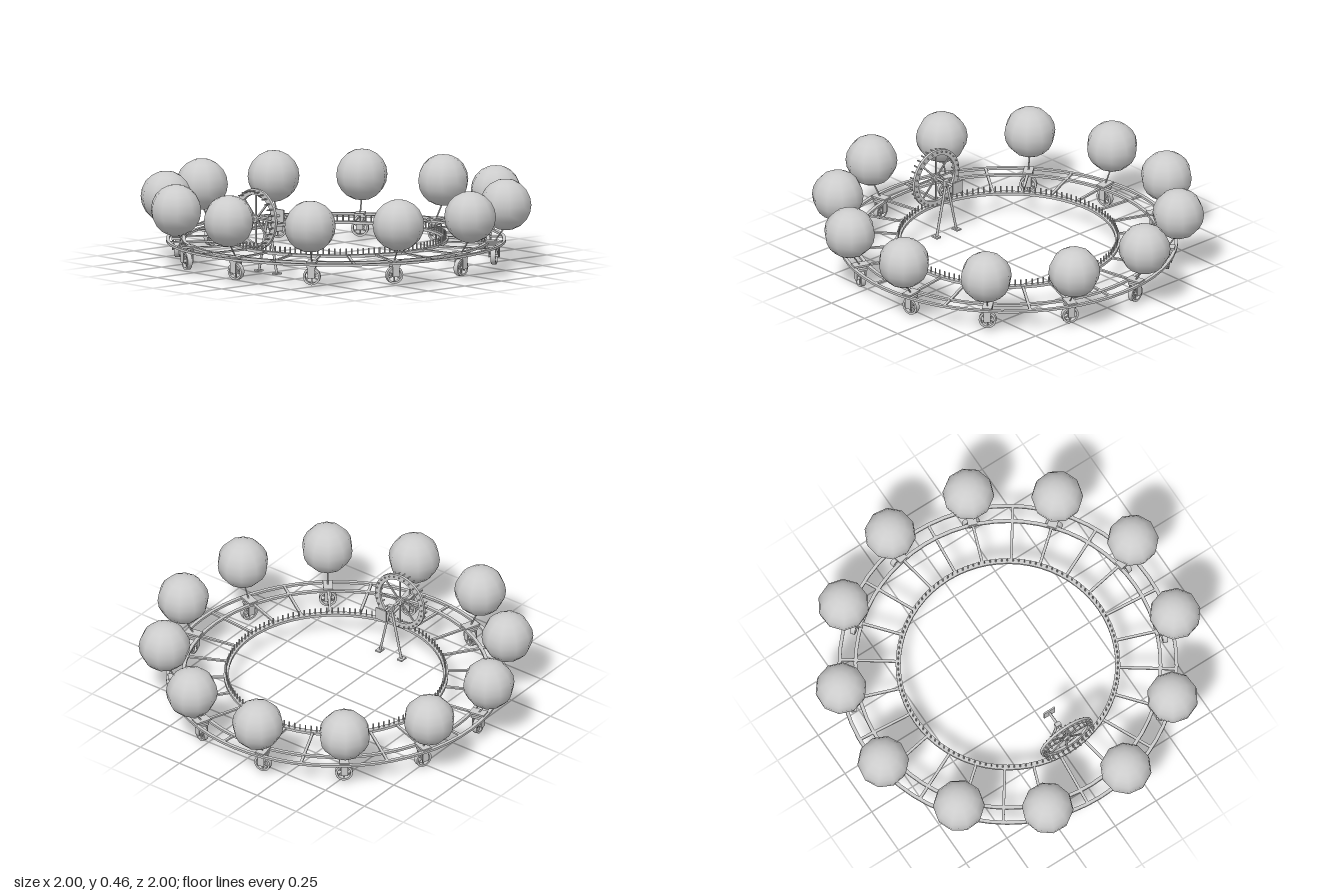
import * as THREE from 'three';
import { toCreasedNormals } from 'three/addons/utils/BufferGeometryUtils.js';

const metal = new THREE.MeshStandardMaterial({ color: 0xcccccc });
metal.name = 'light grey';

function add(parent, geometry, name, x = 0, y = 0, z = 0) {
  const mesh = new THREE.Mesh(geometry, metal);
  mesh.name = name;
  mesh.position.set(x, y, z);
  parent.add(mesh);
  return mesh;
}

const box = (w, h, d) => new THREE.BoxGeometry(w, h, d);

// Round bar between two points
function rod(parent, a, b, r, name) {
  const from = new THREE.Vector3(...a), to = new THREE.Vector3(...b);
  const mesh = add(parent, new THREE.CylinderGeometry(r, r, from.distanceTo(to), 6), name);
  mesh.position.copy(from).lerp(to, 0.5);
  mesh.quaternion.setFromUnitVectors(new THREE.Vector3(0, 1, 0), to.sub(from).normalize());
  return mesh;
}

// Flat hoop with a rectangular section, lying around the y axis
function hoop(inner, outer, height, segments) {
  const h = height / 2;
  const profile = [[inner, -h], [outer, -h], [outer, h], [inner, h], [inner, -h]]
    .map(([x, y]) => new THREE.Vector2(x, y));
  return toCreasedNormals(new THREE.LatheGeometry(profile, segments), 0.6);
}

// Caster with its fork, bracket and ball, built along +x from the ring centre
function floatUnit() {
  const unit = new THREE.Group();
  unit.name = 'ballAndCaster';
  const r = 0.82, wheelY = 0.06;

  add(unit, new THREE.SphereGeometry(0.133, 10, 10), 'ball', 0.88, 0.327, 0);
  rod(unit, [r, 0.13, 0], [0.875, 0.21, 0], 0.004, 'ballStem');
  add(unit, box(0.085, 0.01, 0.05), 'bracket', r, 0.134, 0);
  add(unit, box(0.06, 0.012, 0.045), 'forkTop', r, 0.112, 0);
  for (const s of [-1, 1]) {
    add(unit, box(0.005, 0.065, 0.036), 'forkPlate', r + s * 0.025, 0.085, 0);
  }

  // Wheel turns about the radial axis
  const wheel = new THREE.Group();
  wheel.name = 'casterWheel';
  wheel.position.set(r, wheelY, 0);
  wheel.rotation.z = Math.PI / 2;
  add(wheel, hoop(0.034, 0.045, 0.025, 20), 'tyre');
  add(wheel, new THREE.CylinderGeometry(0.008, 0.008, 0.055, 8), 'axle');
  for (let i = 0; i < 3; i++) {
    add(wheel, box(0.07, 0.008, 0.006), 'wheelSpoke').rotation.y = i * Math.PI / 3;
  }
  unit.add(wheel);
  return unit;
}

// Upright lantern wheel with its axle, crank plate and A-frame stand
function driveWheel() {
  const drive = new THREE.Group();
  drive.name = 'driveWheel';
  const y = 0.288, standX = -0.465;

  const wheel = new THREE.Group();
  wheel.name = 'lanternWheel';
  wheel.position.set(-0.545, y, 0);
  wheel.rotation.z = Math.PI / 2;
  add(wheel, hoop(0.126, 0.157, 0.014, 40), 'rim');
  for (let i = 0; i < 28; i++) {
    const a = i / 28 * Math.PI * 2;
    add(wheel, new THREE.CylinderGeometry(0.004, 0.004, 0.055, 6), 'wheelPin',
      Math.cos(a) * 0.145, 0.013, Math.sin(a) * 0.145);
  }
  for (let i = 0; i < 4; i++) {
    add(wheel, box(0.26, 0.006, 0.009), 'rimSpoke').rotation.y = i * Math.PI / 4;
  }
  add(wheel, new THREE.CylinderGeometry(0.02, 0.02, 0.025, 12), 'hub');
  drive.add(wheel);

  rod(drive, [-0.56, y, 0], [-0.385, y, 0], 0.007, 'axle');
  add(drive, box(0.008, 0.066, 0.066), 'crankPlate', -0.385, y, 0);
  add(drive, box(0.022, 0.03, 0.03), 'bearing', standX, y, 0);
  for (const s of [-1, 1]) {
    rod(drive, [standX, y - 0.005, s * 0.005], [standX, 0.006, s * 0.068], 0.007, 'standLeg');
    add(drive, box(0.04, 0.008, 0.03), 'standFoot', standX, 0.004, s * 0.07);
  }
  return drive;
}

export function createModel() {
  const model = new THREE.Group();
  model.name = 'ballCarousel';
  const ringY = 0.126;

  // Three concentric rails
  add(model, hoop(0.855, 0.873, 0.012, 64), 'outerRail', 0, ringY, 0);
  add(model, hoop(0.773, 0.791, 0.012, 64), 'middleRail', 0, ringY, 0);
  add(model, hoop(0.55, 0.576, 0.014, 64), 'innerRail', 0, ringY, 0);

  // Radial ties joining the rails
  const start = THREE.MathUtils.degToRad(10);
  for (let i = 0; i < 24; i++) {
    const a = start + i * Math.PI / 12;
    const tie = add(model, box(0.3, 0.009, 0.014), 'radialTie',
      Math.cos(a) * 0.713, ringY, -Math.sin(a) * 0.713);
    tie.rotation.y = a;
  }

  // Rack of upright pegs on the inner rail
  const peg = new THREE.CylinderGeometry(0.004, 0.004, 0.036, 6);
  for (let i = 0; i < 120; i++) {
    const a = i / 120 * Math.PI * 2;
    add(model, peg, 'rackPeg', Math.cos(a) * 0.563, 0.146, Math.sin(a) * 0.563);
  }

  // Twelve balls on casters
  for (let i = 0; i < 12; i++) {
    const unit = floatUnit();
    unit.rotation.y = start + i * Math.PI / 6;
    model.add(unit);
  }

  model.add(driveWheel());
  return model;
}
